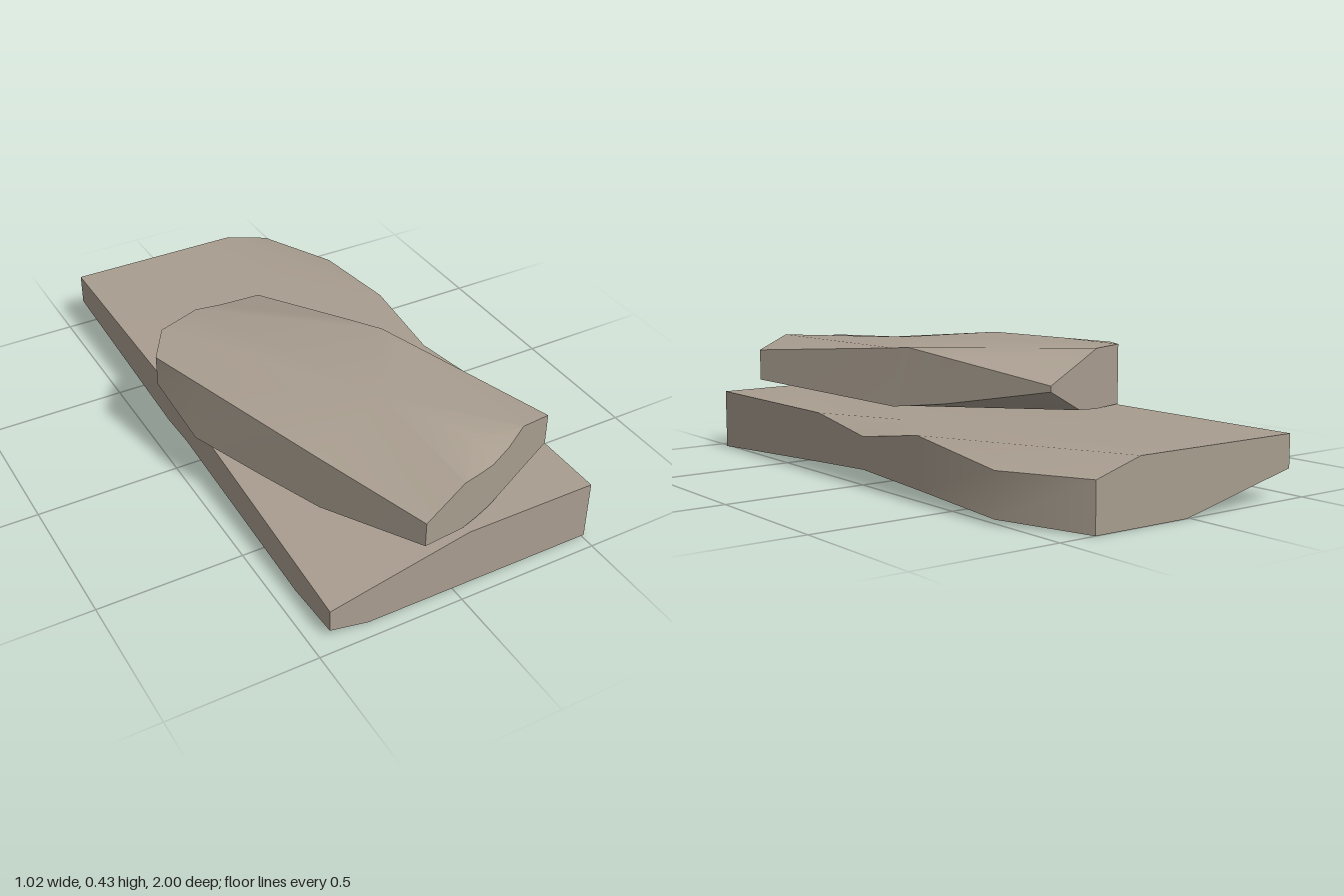
import * as THREE from 'three';
import { toCreasedNormals } from 'three/addons/utils/BufferGeometryUtils.js';

// Rough slab from a rim of [x, z, top y, bottom y, bottom x if undercut].
// The caps are fans of rim indices; extra inner top points follow the rim.
function slab(rim, inner, topFans, bottomFans) {
  const top = [...rim.map(([x, z, t]) => [x, t, z]), ...inner];
  const bottom = rim.map(([x, z, , b, bx = x]) => [bx, b, z]);
  const out = [];
  const tri = (a, b, c) => out.push(...a, ...b, ...c);
  const eachTri = (fans, use) => fans.forEach(([p, ...f]) => {
    for (let i = 0; i < f.length - 1; i++) use(p, f[i], f[i + 1]);
  });
  eachTri(topFans, (a, b, c) => tri(top[a], top[b], top[c]));
  eachTri(bottomFans, (a, b, c) => tri(bottom[a], bottom[c], bottom[b]));
  // side wall
  rim.forEach((_, i) => {
    const j = (i + 1) % rim.length;
    tri(bottom[i], bottom[j], top[j]);
    tri(bottom[i], top[j], top[i]);
  });
  const g = new THREE.BufferGeometry();
  g.setAttribute('position', new THREE.Float32BufferAttribute(out, 3));
  return toCreasedNormals(g, 0.5);
}

export function createModel() {
  const stone = new THREE.MeshStandardMaterial({ color: 0xa89d8f });
  stone.name = 'stone';
  const group = new THREE.Group();
  group.name = 'stackedStones';
  const add = (name, geometry) => {
    const mesh = new THREE.Mesh(geometry, stone);
    mesh.name = name;
    group.add(mesh);
  };

  // Long base slab: broken front corner, chipped side, arched underside
  add('lowerSlab', slab([
    [-0.435, 0.945, 0.107, 0.03],
    [-0.3, 0.945, 0.136, 0],
    [0.05, 0.945, 0.21, 0],
    [0.51, 0.945, 0.21, 0],
    [0.51, 0.26, 0.21, 0.04],
    [0.51, -0.02, 0.165, 0.055],
    [0.51, -0.33, 0.21, 0.039],
    [0.51, -0.72, 0.16, 0.016],
    [0.37, -1, 0.16, 0],
    [0.2, -1, 0.21, 0],
    [0.01, -1, 0.21, 0],
    [-0.435, -1, 0.21, 0.1],
    [-0.435, -0.2, 0.21, 0.05],
    [-0.435, -0.05, 0.197, 0.058],
    [-0.435, 0.73, 0.126, 0.013],
  ], [[0.37, 0.21, -0.03]],
  [[1, 2, 12, 13, 14, 0], [15, 4, 5, 6, 9, 10, 11, 12, 2, 4], [2, 3, 4], [6, 7, 8, 9]],
  [[13, 14, 1, 2, 3, 4, 5, 6, 7, 8, 9, 10, 12], [14, 0, 1], [12, 10, 11]]));

  // Smaller turned slab on top: chipped front edge, cut corners above and below
  add('upperSlab', slab([
    [-0.15, 1, 0.37, 0.285],
    [0.03, 0.93, 0.4, 0.222],
    [0.1, 0.902, 0.385, 0.215],
    [0.17, 0.875, 0.375, 0.215],
    [0.25, 0.843, 0.39, 0.23],
    [0.32, 0.815, 0.425, 0.243],
    [0.46, 0.76, 0.38, 0.27],
    [0.245, 0.2, 0.42, 0.215],
    [0.22, 0.14, 0.425, 0.222],
    [0.168, 0, 0.4, 0.24],
    [0.02, -0.385, 0.33, 0.31],
    [-0.17, -0.31, 0.388, 0.225],
    [-0.28, -0.27, 0.425, 0.215],
    [-0.435, -0.21, 0.425, 0.212],
    [-0.515, -0.08, 0.418, 0.31],
    [-0.456, 0.13, 0.421, 0.215, -0.48],
    [-0.375, 0.42, 0.425, 0.215],
    [-0.295, 0.63, 0.405, 0.215],
  ], [[0.02, 0.425, 0.47], [0.16, 0.41, 0.78]],
  [[18, 17, 0, 1, 19, 5, 7, 8, 12, 13, 15, 16, 17], [19, 1, 2, 3, 4, 5], [5, 6, 7],
    [12, 8, 9, 11], [9, 10, 11], [13, 14, 15]],
  [[17, 0, 1, 2, 3, 7, 8, 16], [7, 3, 4, 5, 6], [11, 8, 9, 10], [16, 8, 11, 15],
    [15, 11, 12, 13, 14]]));

  return group;
}
